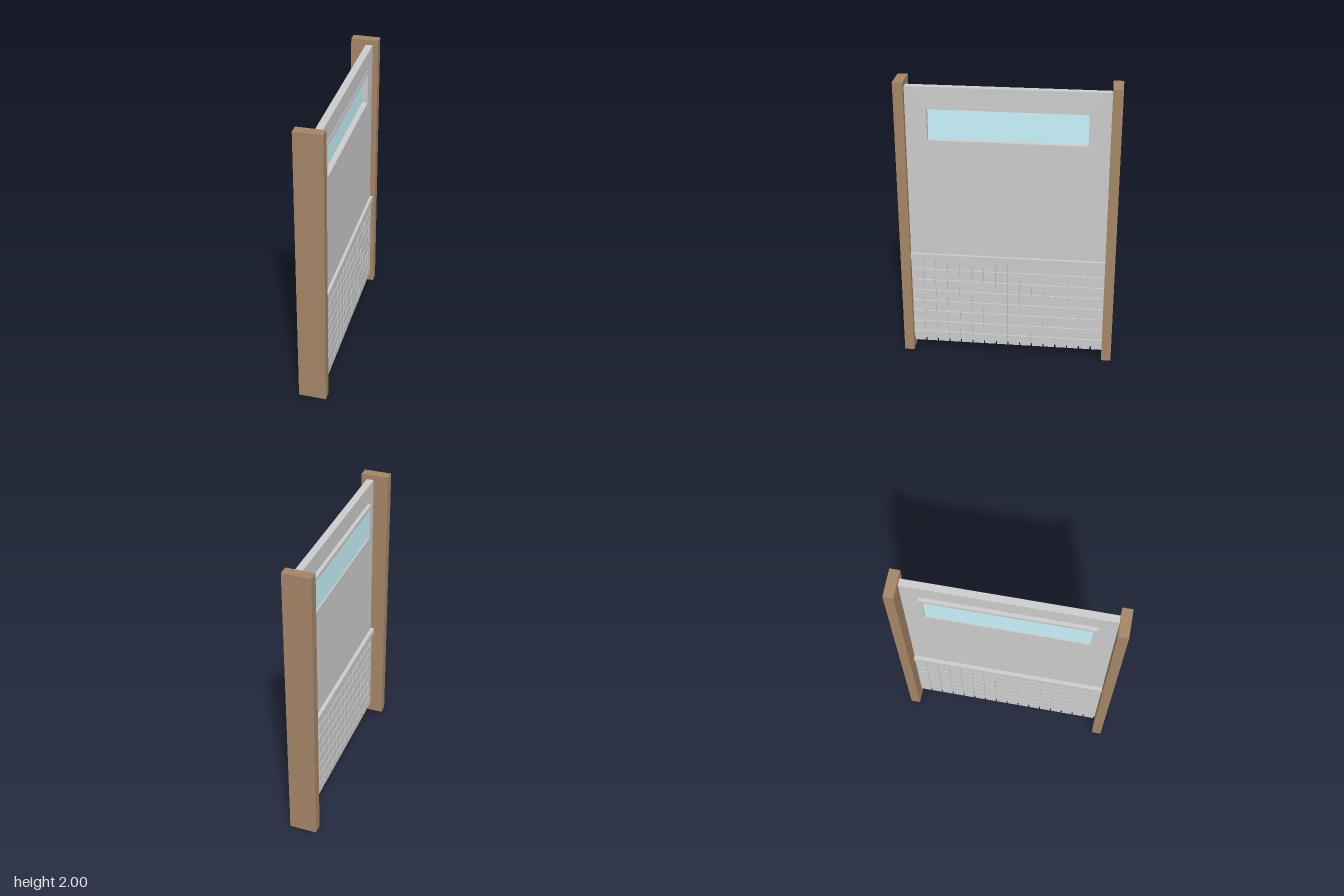
import * as THREE from 'three';
import { mergeGeometries } from 'three/addons/utils/BufferGeometryUtils.js';

const grey = new THREE.MeshStandardMaterial({ color: 0xcccccc });
const wood = new THREE.MeshStandardMaterial({ color: 0xa48565 });
const pane = new THREE.MeshStandardMaterial({ color: 0xc9f3fb });

// Box given by its limits on each axis
function boxGeometry(x0, x1, y0, y1, z0, z1) {
  return new THREE.BoxGeometry(x1 - x0, y1 - y0, z1 - z0)
    .translate((x0 + x1) / 2, (y0 + y1) / 2, (z0 + z1) / 2);
}

function rectangle(path, halfWidth, y0, y1) {
  path.moveTo(-halfWidth, y0);
  path.lineTo(halfWidth, y0);
  path.lineTo(halfWidth, y1);
  path.lineTo(-halfWidth, y1);
  path.closePath();
  return path;
}

// Upright slab from x0 to x1 with a rectangular opening; outer and inner are [halfWidth, y0, y1]
function slabWithOpening(x0, x1, outer, inner) {
  const shape = rectangle(new THREE.Shape(), ...outer);
  shape.holes.push(rectangle(new THREE.Path(), ...inner));
  return new THREE.ExtrudeGeometry(shape, { depth: x1 - x0, bevelEnabled: false })
    .rotateY(Math.PI / 2)
    .translate(x0, 0, 0);
}

export function createModel() {
  const model = new THREE.Group();
  const add = (name, geometry, material = grey) => {
    const mesh = new THREE.Mesh(geometry, material);
    mesh.name = name;
    model.add(mesh);
  };

  const half = 0.669;

  // Timber posts at both ends
  add('frontPost', boxGeometry(-0.094, 0.094, 0, 2, half, 0.736), wood);
  add('backPost', boxGeometry(-0.094, 0.094, 0, 2, -0.736, -half), wood);

  // Wall panel with window opening, frame and glass
  add('wallPanel', slabWithOpening(0.008, 0.056, [half, 0.083, 1.965], [0.54, 1.59, 1.825]));
  add('windowFrame', slabWithOpening(-0.017, 0.06, [0.555, 1.575, 1.84], [0.527, 1.6, 1.815]));
  add('windowGlass', boxGeometry(-0.008, 0.022, 1.6, 1.815, -0.527, 0.527), pane);

  // Rail above the tiles
  add('rail', boxGeometry(-0.018, 0.076, 0.72, 0.765, -half, half));

  // Square tiles on both faces of the lower wall
  const columns = 16, rows = 8, pitch = 2 * half / columns, gap = 0.009;
  const faces = { leftTiles: [0.05, 0.066], rightTiles: [-0.003, 0.014] };
  for (const [name, [x0, x1]] of Object.entries(faces)) {
    const tiles = [];
    for (let row = 0; row < rows; row++) {
      for (let column = 0; column < columns; column++) {
        const y = 0.068 + row * pitch;
        const z = -half + column * pitch;
        tiles.push(boxGeometry(x0, x1, y, y + pitch - gap, z, z + pitch - gap));
      }
    }
    add(name, mergeGeometries(tiles));
  }
  return model;
}
